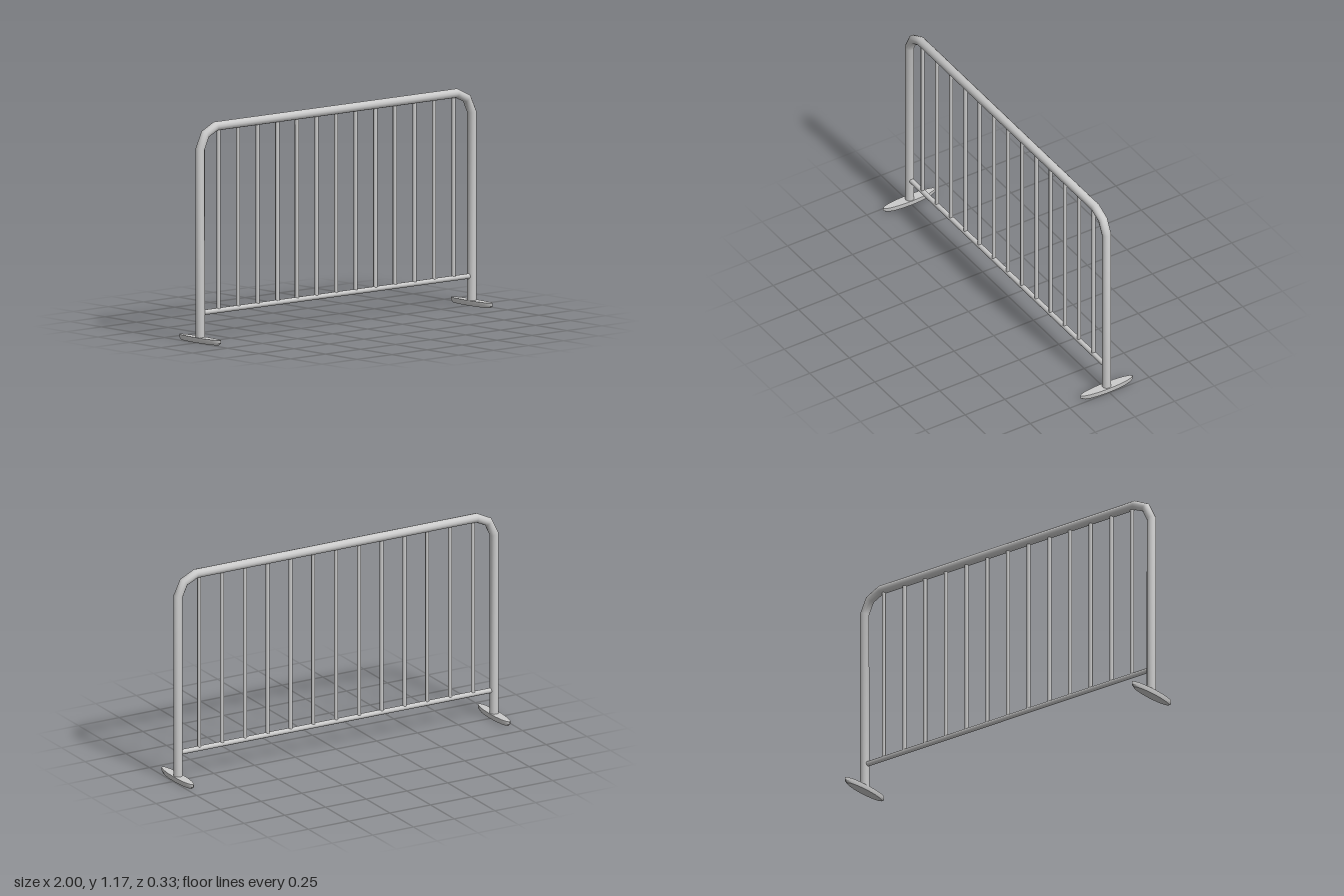
import * as THREE from 'three';
import { toCreasedNormals } from 'three/addons/utils/BufferGeometryUtils.js';

// Straight-segmented path with mitred joints
class Polyline extends THREE.Curve {
  constructor(points) {
    super();
    this.points = points;
  }
  getPoint(t, target = new THREE.Vector3()) {
    const n = this.points.length - 1;
    const i = Math.min(Math.floor(t * n + 1e-6), n - 1);
    return target.lerpVectors(this.points[i], this.points[i + 1], t * n - i);
  }
  getTangent(t, target = new THREE.Vector3()) {
    const p = this.points, n = p.length - 1, i = Math.round(t * n);
    target.set(0, 0, 0);
    if (i > 0) target.add(p[i].clone().sub(p[i - 1]).normalize());
    if (i < n) target.add(p[i + 1].clone().sub(p[i]).normalize());
    return target.normalize();
  }
  getPointAt(u, target) { return this.getPoint(u, target); }
  getTangentAt(u, target) { return this.getTangent(u, target); }
}

export function createModel() {
  const group = new THREE.Group();
  const material = new THREE.MeshStandardMaterial({ color: 0xcccccc });
  const add = (name, geometry, x, y, z) => {
    const mesh = new THREE.Mesh(geometry, material);
    mesh.name = name;
    mesh.position.set(x, y, z);
    group.add(mesh);
    return mesh;
  };

  // Outer frame: two posts and the top rail bent from one pipe
  const half = [[0.97, 0.015], [0.97, 1.04], [0.934, 1.115], [0.86, 1.15]];
  const path = [
    ...half.map(([x, y]) => new THREE.Vector3(-x, y, 0)),
    ...half.map(([x, y]) => new THREE.Vector3(x, y, 0)).reverse(),
  ];
  add('outerFrame', new THREE.TubeGeometry(new Polyline(path), path.length - 1, 0.025, 12), 0, 0, 0);

  // Bottom rail between the posts
  const rail = add('bottomRail', new THREE.CylinderGeometry(0.014, 0.014, 1.92, 10), 0, 0.158, 0);
  rail.rotation.z = Math.PI / 2;

  // Thirteen upright bars
  const barGeometry = new THREE.CylinderGeometry(0.011, 0.011, 0.98, 8, 1, true);
  for (let i = -6; i <= 6; i++) add('uprightBar', barGeometry, i * 0.14, 0.65, 0);

  // Narrow oval feet with a chamfered underside
  const profile = [[0, 0], [0.9, 0], [1, 0.012], [1, 0.028], [0, 0.028]]
    .map(([r, y]) => new THREE.Vector2(r, y));
  const foot = new THREE.LatheGeometry(profile, 16);
  foot.scale(0.029, 1, 0.165);
  const footGeometry = toCreasedNormals(foot, 0.7);
  for (const side of [-1, 1]) add('foot', footGeometry, side * 0.971, 0, 0);

  return group;
}
